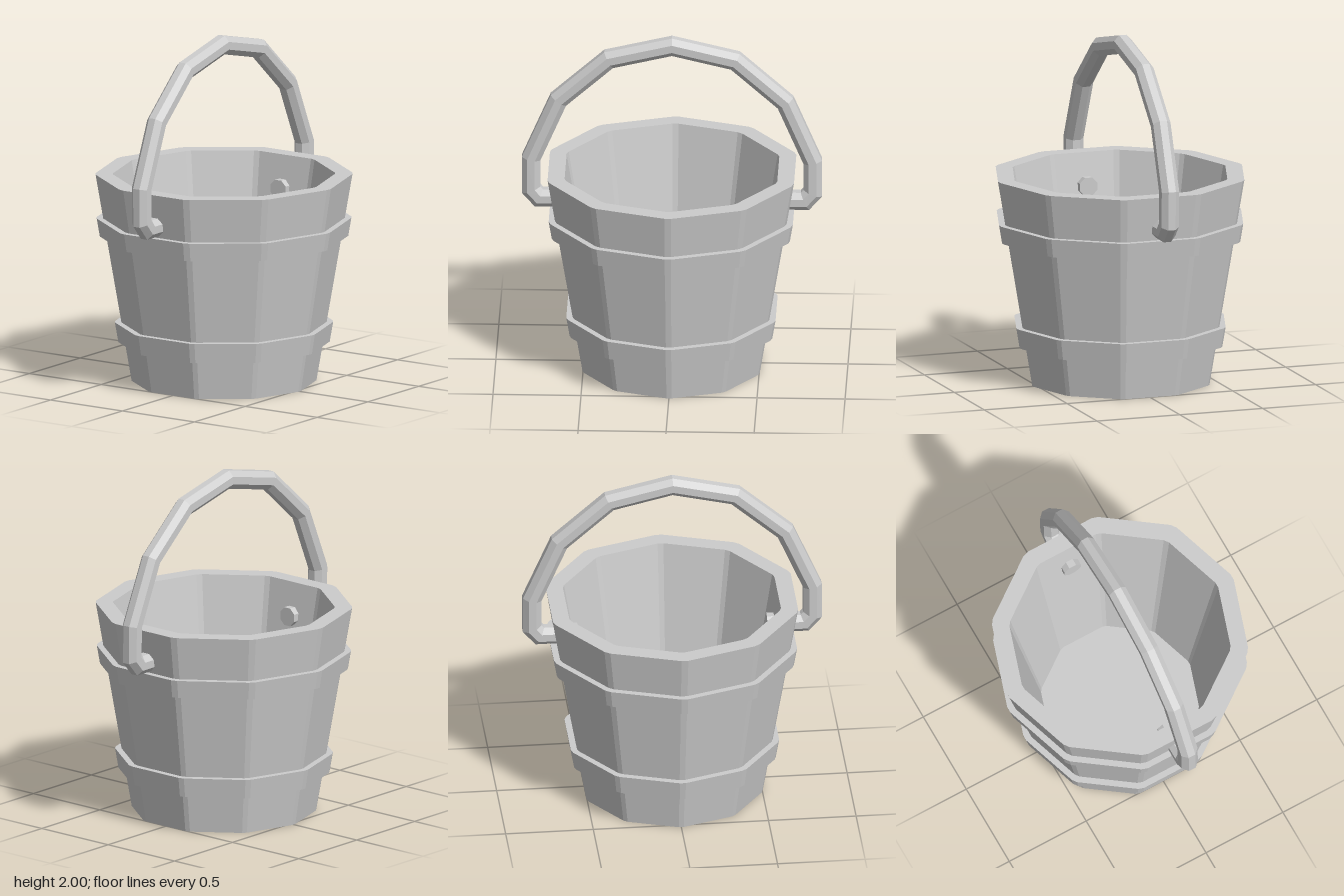
import * as THREE from 'three';

const SIDES = 10;
const BEVEL = 0.045; // share of each decagon edge cut away at a corner

// Flat-shaded skin over a list of closed rings of equal length
function loft(rings) {
  const pos = [];
  const tri = (a, b, c) => {
    const area = b.clone().sub(a).cross(c.clone().sub(a)).length();
    if (area > 1e-8) for (const p of [a, b, c]) pos.push(p.x, p.y, p.z);
  };
  for (let i = 0; i < rings.length - 1; i++) {
    const lo = rings[i], hi = rings[i + 1], n = lo.length;
    for (let j = 0; j < n; j++) {
      const k = (j + 1) % n;
      tri(lo[j], hi[j], hi[k]);
      tri(lo[j], hi[k], lo[k]);
    }
  }
  const g = new THREE.BufferGeometry();
  g.setAttribute('position', new THREE.Float32BufferAttribute(pos, 3));
  g.computeVertexNormals();
  return g;
}

// Decagon with slightly bevelled corners
function decagon(r, y) {
  const corner = (i) => {
    const a = (i / SIDES) * Math.PI * 2;
    return new THREE.Vector3(Math.cos(a) * r * 1.008, y, Math.sin(a) * r * 1.008);
  };
  const pts = [];
  for (let i = 0; i < SIDES; i++) {
    pts.push(corner(i).lerp(corner(i - 1), BEVEL), corner(i).lerp(corner(i + 1), BEVEL));
  }
  return pts;
}

const staved = (profile) => loft(profile.map(([r, y]) => decagon(r, y)));
const wallRadius = (y) => 0.525 + 0.171 * y;

// Octagonal bar with mitred joints, following [z, y] points
function bar(path, radius) {
  const dir = (a, b) => new THREE.Vector2(b[0] - a[0], b[1] - a[1]).normalize();
  const lean = (y) => -0.005 - 0.013 * (y - 1);
  const ringAt = (i, size) => {
    const p = path[i];
    const before = dir(path[Math.max(i - 1, 0)], path[Math.max(i, 1)]);
    const last = path.length - 1;
    const after = dir(path[Math.min(i, last - 1)], path[Math.min(i + 1, last)]);
    const t = before.clone().add(after).normalize();
    const mitre = 1 / t.dot(before);
    return Array.from({ length: 8 }, (_, j) => {
      const a = ((j + 0.5) / 8) * Math.PI * 2;
      const s = Math.sin(a) * size * mitre;
      return new THREE.Vector3(lean(p[1]) + Math.cos(a) * size, p[1] - t.x * s, p[0] + t.y * s);
    });
  };
  const rings = path.map((_, i) => ringAt(i, radius));
  return loft([ringAt(0, 0), ...rings, ringAt(path.length - 1, 0)]);
}

export function createModel() {
  const group = new THREE.Group();
  const grey = new THREE.MeshStandardMaterial({ color: 0xcccccc });
  grey.name = 'pale grey';
  const add = (name, geometry) => {
    const mesh = new THREE.Mesh(geometry, grey);
    mesh.name = name;
    group.add(mesh);
  };

  // Tapered wall with a raised floor and a recessed underside
  add('bucket', staved([
    [0, 0.1], [0.445, 0.1], [0.43, 0], [0.525, 0],
    [0.73, 1.2], [0.63, 1.2], [0.45, 0.15], [0, 0.15],
  ]));

  // Two hoops around the wall
  for (const [name, y0, y1] of [['lowerHoop', 0.225, 0.34], ['upperHoop', 0.84, 0.945]]) {
    const inner = -0.02, outer = 0.037;
    add(name, staved([
      [wallRadius(y0) + inner, y0], [wallRadius(y0) + outer, y0],
      [wallRadius(y1) + outer, y1], [wallRadius(y1) + inner, y1],
    ]));
  }

  // Arched handle whose bent ends pass through the wall
  const half = [[0.54, 1.01], [0.756, 1.01], [0.8, 1.06], [0.8, 1.25], [0.645, 1.61], [0.36, 1.862]];
  const mirrored = half.map(([z, y]) => [-z, y]).reverse();
  add('handle', bar([...half, [0, 1.947], ...mirrored], 0.057));

  return group;
}
